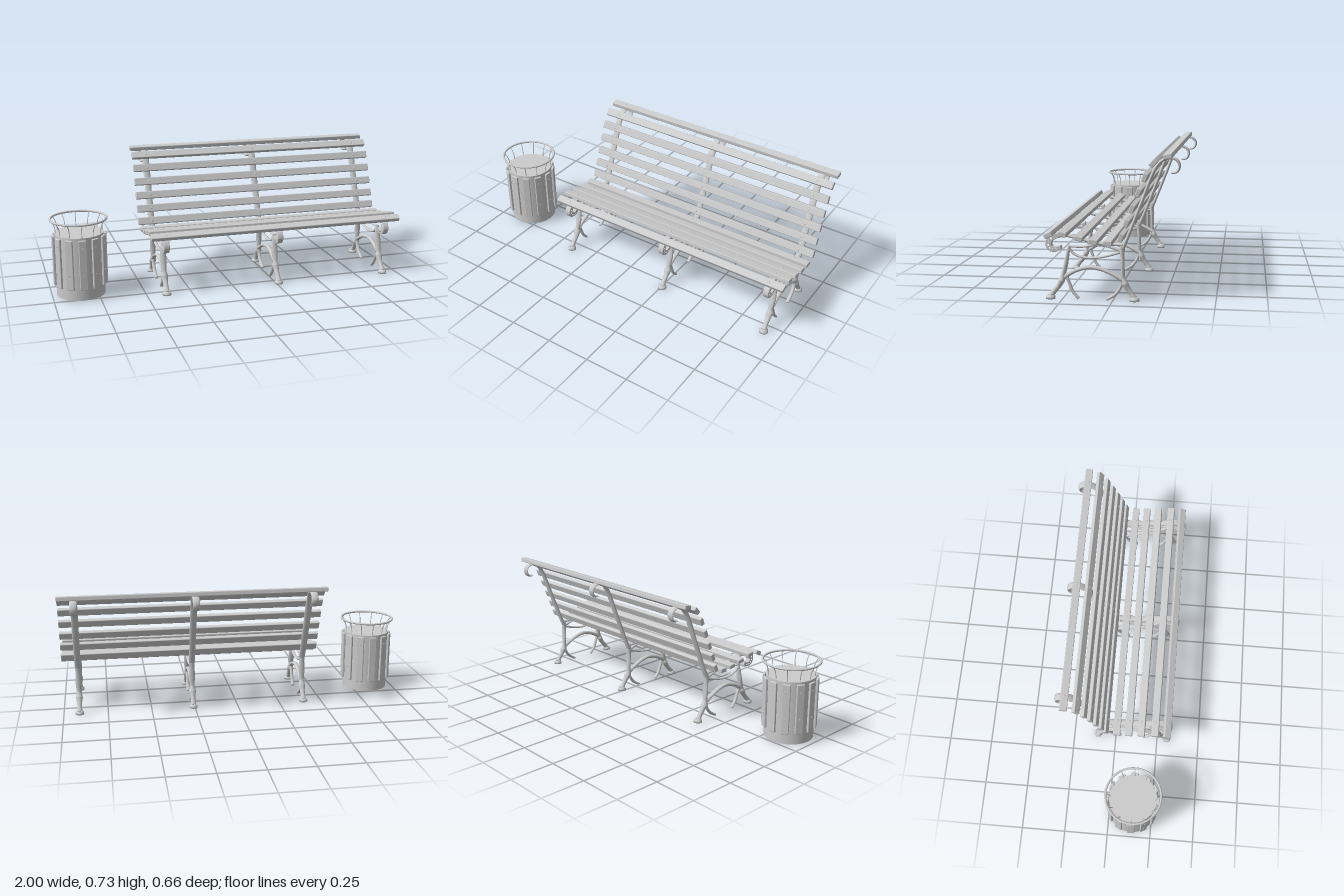
import * as THREE from 'three';
import { RoundedBoxGeometry } from 'three/addons/geometries/RoundedBoxGeometry.js';

const grey = new THREE.MeshStandardMaterial({ color: 0xcccccc });

function add(parent, geometry, name, x = 0, y = 0, z = 0) {
  const mesh = new THREE.Mesh(geometry, grey);
  mesh.name = name;
  mesh.position.set(x, y, z);
  parent.add(mesh);
  return mesh;
}

// Sweeps an ellipse along a planar path of [x, y, half thickness, half width] stations.
function castBar(stations, steps = 8, sides = 14) {
  const curve = new THREE.CatmullRomCurve3(stations.map(s => new THREE.Vector3(s[0], s[1], 0)));
  const n = (stations.length - 1) * steps, pos = [], idx = [];
  const ring = (p, t, a, b) => {
    for (let j = 0; j < sides; j++) {
      const q = j / sides * Math.PI * 2, c = Math.cos(q) * a;
      pos.push(p.x - t.y * c, p.y + t.x * c, Math.sin(q) * b);
    }
  };
  for (let i = 0; i <= n; i++) {
    const k = Math.min(Math.floor(i / steps), stations.length - 2), f = i / steps - k;
    const a = THREE.MathUtils.lerp(stations[k][2], stations[k + 1][2], f);
    const b = THREE.MathUtils.lerp(stations[k][3], stations[k + 1][3], f);
    const p = curve.getPoint(i / n), t = curve.getTangent(i / n);
    if (i === 0) ring(p, t, 0, 0);
    ring(p, t, a, b);
    if (i === n) ring(p, t, 0, 0);
  }
  for (let i = 0; i < n + 2; i++) for (let j = 0; j < sides; j++) {
    const a = i * sides + j, b = i * sides + (j + 1) % sides, c = a + sides, d = b + sides;
    idx.push(a, b, c, b, d, c);
  }
  const g = new THREE.BufferGeometry();
  g.setAttribute('position', new THREE.Float32BufferAttribute(pos, 3));
  g.setIndex(idx);
  g.computeVertexNormals();
  return g;
}

// Curled band at the seat front, pierced along its middle.
function scrollGeometry() {
  const mid = new THREE.CatmullRomCurve3([
    [0.225, 0.325], [0.274, 0.320], [0.305, 0.303], [0.314, 0.278], [0.302, 0.258], [0.278, 0.254], [0.253, 0.264],
  ].map(p => new THREE.Vector3(p[0], p[1], 0)));
  const outer = [], inner = [];
  for (let i = 0; i <= 32; i++) {
    const t = i / 32, p = mid.getPoint(t), d = mid.getTangent(t);
    const w = 0.008 + 0.005 * Math.sin(Math.PI * t);
    outer.push(new THREE.Vector2(p.x - d.y * w, p.y + d.x * w));
    inner.unshift(new THREE.Vector2(p.x + d.y * w, p.y - d.x * w));
  }
  const shape = new THREE.Shape([...outer, ...inner]);
  for (let i = 0; i < 6; i++) {
    const p = mid.getPoint(0.3 + i * 0.11);
    shape.holes.push(new THREE.Path().absarc(p.x, p.y, 0.0048, 0, Math.PI * 2, true));
  }
  const g = new THREE.ExtrudeGeometry(shape, {
    depth: 0.024, bevelThickness: 0.004, bevelSize: 0.002, bevelSegments: 2, curveSegments: 8,
  });
  return g.translate(0, 0, -0.012);
}

// Cast side frame, drawn in its own plane: x forward, y up.
const bars = {
  backPost: [[-0.048, 0.262, 0.012, 0.017], [-0.07, 0.31, 0.009, 0.018], [-0.14, 0.487, 0.009, 0.019], [-0.207, 0.655, 0.009, 0.02],
    [-0.235, 0.69, 0.008, 0.02], [-0.27, 0.706, 0.007, 0.02], [-0.304, 0.7, 0.007, 0.02], [-0.322, 0.676, 0.007, 0.02],
    [-0.317, 0.65, 0.007, 0.02], [-0.303, 0.637, 0.006, 0.019], [-0.284, 0.635, 0.005, 0.017]],
  seatRail: [[-0.055, 0.283, 0.009, 0.016], [0.0, 0.284, 0.008, 0.017], [0.07, 0.288, 0.010, 0.018], [0.167, 0.311, 0.008, 0.018],
    [0.235, 0.326, 0.009, 0.017]],
  frontLeg: [[0.212, 0.274, 0.007, 0.011], [0.22, 0.235, 0.009, 0.015], [0.23, 0.18, 0.011, 0.019], [0.245, 0.12, 0.012, 0.013],
    [0.252, 0.098, 0.016, 0.021], [0.266, 0.072, 0.013, 0.015], [0.29, 0.042, 0.012, 0.013], [0.308, 0.018, 0.015, 0.017]],
  rearLeg: [[-0.048, 0.28, 0.014, 0.017], [-0.048, 0.235, 0.011, 0.015], [-0.05, 0.18, 0.009, 0.018], [-0.052, 0.12, 0.011, 0.013],
    [-0.062, 0.09, 0.016, 0.021], [-0.076, 0.065, 0.013, 0.015], [-0.093, 0.04, 0.012, 0.013], [-0.106, 0.018, 0.015, 0.017]],
  arch: [[0.238, 0.115, 0.013, 0.013], [0.205, 0.137, 0.01, 0.013], [0.16, 0.157, 0.01, 0.013], [0.113, 0.167, 0.011, 0.013],
    [0.06, 0.16, 0.01, 0.013], [0.0, 0.136, 0.009, 0.013], [-0.05, 0.108, 0.013, 0.013]],
  frontCurl: [[0.23, 0.125, 0.009, 0.01], [0.216, 0.09, 0.008, 0.01], [0.198, 0.045, 0.008, 0.01], [0.168, 0.009, 0.007, 0.01]],
  rearCurl: [[-0.047, 0.11, 0.009, 0.01], [-0.04, 0.075, 0.008, 0.01], [-0.012, 0.035, 0.008, 0.01], [0.03, 0.008, 0.007, 0.01]],
  upperStretcher: [[0.215, 0.268, 0.006, 0.01], [0.14, 0.269, 0.006, 0.01], [0.08, 0.279, 0.007, 0.01], [0.02, 0.272, 0.006, 0.01],
    [-0.048, 0.25, 0.009, 0.01]],
  saggingBrace: [[0.215, 0.262, 0.006, 0.01], [0.19, 0.232, 0.006, 0.01], [0.13, 0.214, 0.006, 0.01], [0.05, 0.22, 0.006, 0.01],
    [-0.045, 0.248, 0.008, 0.01]],
};

function sideFrame(geometries, scroll, foot) {
  const frame = new THREE.Group();
  frame.name = 'sideFrame';
  for (const name in geometries) add(frame, geometries[name], name);
  add(frame, scroll, 'frontScroll');
  add(frame, foot, 'frontFoot', 0.308, 0.005);
  add(frame, foot, 'rearFoot', -0.107, 0.005);
  return frame;
}

// Slats as [forward, height, tilt in degrees].
const seatSlats = [[0.011, 0.303, 0], [0.08, 0.309, 7], [0.152, 0.323, 12], [0.23, 0.342, 8], [0.299, 0.336, -26]];
const backSlats = [[-0.053, 0.332, -68.6], [-0.078, 0.4, -68.6], [-0.106, 0.472, -68.6], [-0.135, 0.547, -68.6],
  [-0.166, 0.621, -68.6], [-0.206, 0.688, -48], [-0.272, 0.72, -8]];

function bench() {
  const group = new THREE.Group();
  group.name = 'bench';
  group.rotation.y = -Math.PI / 2;
  const frames = [0.393, -0.26, -0.91];
  const geometries = {};
  for (const name in bars) geometries[name] = castBar(bars[name]);
  const scroll = scrollGeometry();
  const foot = new THREE.LatheGeometry([[0, 0], [0.024, 0], [0.024, 0.01], [0.019, 0.012], [0.018, 0.019], [0, 0.021]]
    .map(p => new THREE.Vector2(...p)), 20);
  for (const w of frames) {
    const frame = sideFrame(geometries, scroll, foot);
    frame.position.z = w;
    group.add(frame);
  }
  const plank = new RoundedBoxGeometry(0.042, 0.024, 1.475, 2, 0.004);
  const bolt = new THREE.CylinderGeometry(0.006, 0.009, 0.003, 10);
  const place = (list, name) => list.forEach(([u, v, tilt]) => {
    const slat = add(group, plank, name, u, v, -0.2625);
    slat.rotation.z = THREE.MathUtils.degToRad(tilt);
    for (const w of frames) add(slat, bolt, 'slatBolt', 0, 0.0125, w + 0.2625);
  });
  place(seatSlats, 'seatSlat');
  place(backSlats, 'backSlat');
  return group;
}

function litterBin() {
  const bin = new THREE.Group();
  bin.name = 'litterBin';
  bin.position.set(-0.84, 0, 0.135);
  add(bin, new THREE.CylinderGeometry(0.133, 0.133, 0.35, 48), 'binBody', 0, 0.18, 0);
  const rim = add(bin, new THREE.TorusGeometry(0.153, 0.006, 10, 48), 'binRim', 0, 0.432, 0);
  rim.rotation.x = Math.PI / 2;
  const slat = new RoundedBoxGeometry(0.043, 0.28, 0.014, 2, 0.004);
  const rivet = new THREE.SphereGeometry(0.004, 8, 6);
  const rod = new THREE.TubeGeometry(new THREE.CatmullRomCurve3([
    [0.127, 0.345], [0.127, 0.372], [0.134, 0.402], [0.152, 0.432],
  ].map(p => new THREE.Vector3(0, p[1], p[0]))), 12, 0.0025, 6);
  // Twelve slats and rods around the drum
  for (let i = 0; i < 12; i++) {
    const spoke = new THREE.Group();
    spoke.name = 'binSegment';
    spoke.rotation.y = i * Math.PI / 6;
    add(spoke, slat, 'binSlat', 0, 0.205, 0.141);
    add(spoke, rivet, 'binRivet', 0, 0.15, 0.148);
    add(spoke, rivet, 'binRivet', 0, 0.3, 0.148);
    add(spoke, rod, 'binRod');
    bin.add(spoke);
  }
  return bin;
}

export function createModel() {
  const model = new THREE.Group();
  model.name = 'benchWithLitterBin';
  model.add(bench(), litterBin());
  return model;
}
